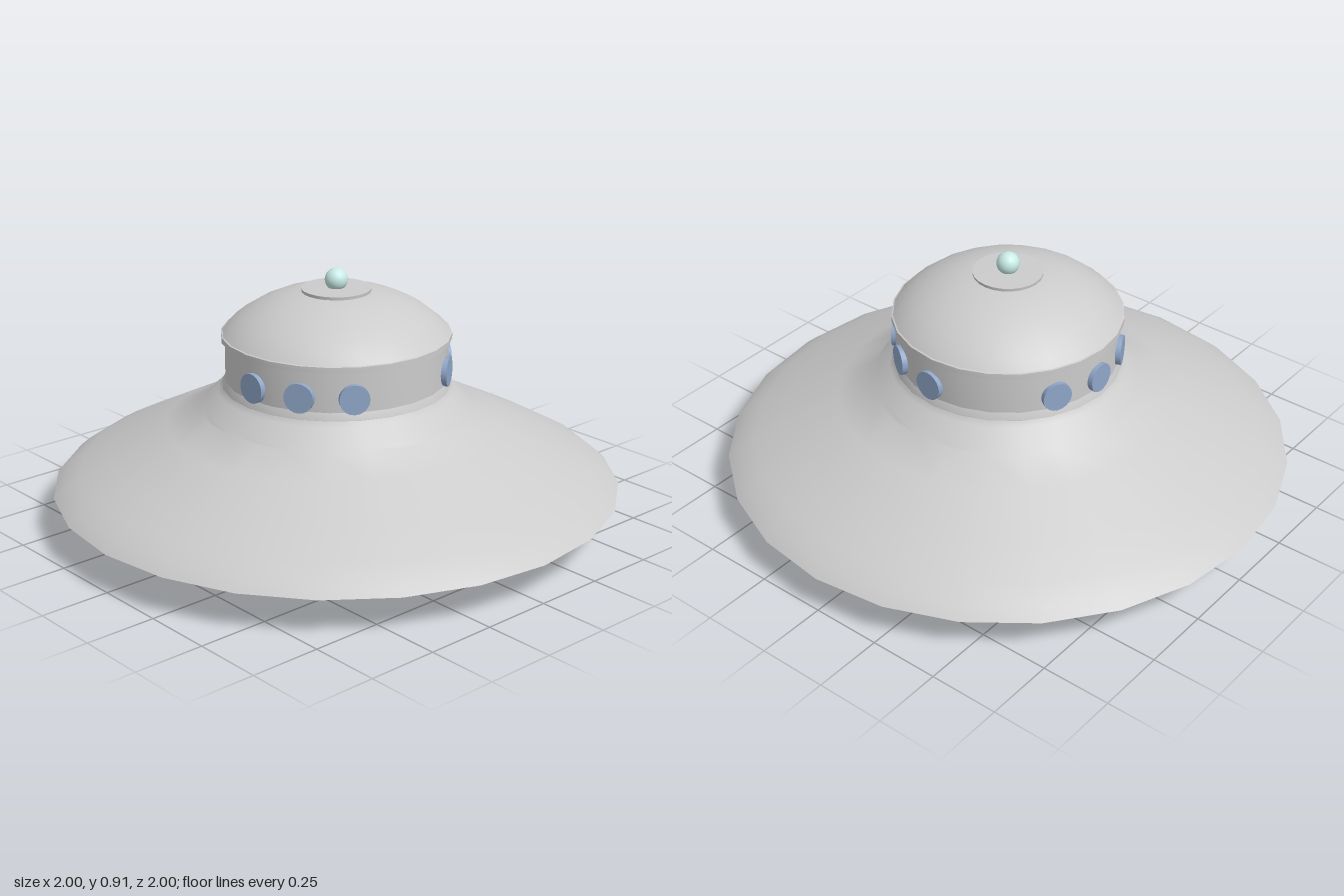
import * as THREE from 'three';
import { toCreasedNormals } from 'three/addons/utils/BufferGeometryUtils.js';

const SIDES = 24;
const material = (color) => new THREE.MeshStandardMaterial({ color });

export function createModel() {
  const model = new THREE.Group();
  const grey = material(0xcccccc);
  const dark = material(0x444444);
  const blue = material(0x8fa6c8);
  const mint = material(0xc8ebe6);

  const add = (name, geometry, mat, parent = model) => {
    const mesh = new THREE.Mesh(geometry, mat);
    mesh.name = name;
    parent.add(mesh);
    return mesh;
  };
  // Turned part: profile of [radius, y], listed from the bottom outwards and up
  const turned = (name, profile, mat) => {
    const points = profile.map(([r, y]) => new THREE.Vector2(r, y));
    return add(name, toCreasedNormals(new THREE.LatheGeometry(points, SIDES), 0.5), mat);
  };

  // Hollow underside, rim, flared skirt and stepped collar
  const skirt = [
    [0, 0.22], [0.52, 0.22], [0.53, 0.23], [0.58, 0.23], [0.59, 0.215], [0.73, 0.225],
    [0.735, 0.24], [0.77, 0.24], [0.775, 0.23], [0.98, 0.135], [1, 0.135],
    [0.96, 0.17], [0.9, 0.205], [0.8, 0.257], [0.6, 0.355], [0.48, 0.413],
  ];
  for (let i = 0; i < 4; i++) {
    const r = 0.475 - i * 0.02, y = 0.418 + i * 0.02;
    skirt.push([r, y], [r - 0.015, y + 0.016]);
  }
  skirt.push([0.4, 0.495], [0.39, 0.52]);
  turned('skirt', skirt, grey);

  // Cabin wall, dome and cap
  turned('cabinWall', [[0.39, 0.51], [0.39, 0.665]], grey);
  turned('domeRim', [[0.38, 0.662], [0.402, 0.662], [0.402, 0.682], [0.39, 0.686]], grey);
  turned('dome', [
    [0.398, 0.682], [0.37, 0.713], [0.33, 0.745], [0.28, 0.776],
    [0.22, 0.803], [0.16, 0.821], [0.1, 0.83], [0, 0.834],
  ], grey);
  turned('domeCap', [[0.12, 0.822], [0.122, 0.838], [0, 0.84]], grey);
  const beacon = add('beacon', new THREE.SphereGeometry(0.04, 20, 14), mint);
  beacon.position.y = 0.867;

  // Dark bands set into the underside
  turned('innerBand', [[0.525, 0.228], [0.525, 0.216], [0.585, 0.214], [0.585, 0.228]], dark);
  turned('outerBand', [[0.733, 0.238], [0.733, 0.227], [0.772, 0.228], [0.772, 0.238]], dark);

  // Engine plate with a raised hub
  turned('enginePlate', [
    [0, 0.142], [0.09, 0.142], [0.095, 0.13], [0.115, 0.13], [0.118, 0.15],
    [0.2, 0.153], [0.205, 0.157], [0.355, 0.162], [0.36, 0.166],
    [0.38, 0.166], [0.392, 0.222],
  ], blue);

  // Three landing spheres
  for (let i = 0; i < 3; i++) {
    const angle = (i * Math.PI * 2) / 3;
    const ball = add('landingSphere', new THREE.SphereGeometry(0.159, 32, 24), mint);
    ball.position.set(0.563 * Math.cos(angle), 0.159, 0.563 * Math.sin(angle));
  }

  // Portholes: three groups of three, between the landing spheres
  const pane = new THREE.CylinderGeometry(0.052, 0.052, 0.03, 20);
  pane.rotateZ(-Math.PI / 2);
  for (let i = 0; i < 3; i++) {
    for (let j = -1; j <= 1; j++) {
      const angle = THREE.MathUtils.degToRad(60 + i * 120 + j * 27);
      const holder = new THREE.Group();
      holder.name = 'portholeMount';
      holder.rotation.y = -angle;
      add('porthole', pane, blue, holder).position.set(0.388, 0.568, 0);
      model.add(holder);
    }
  }

  return model;
}
